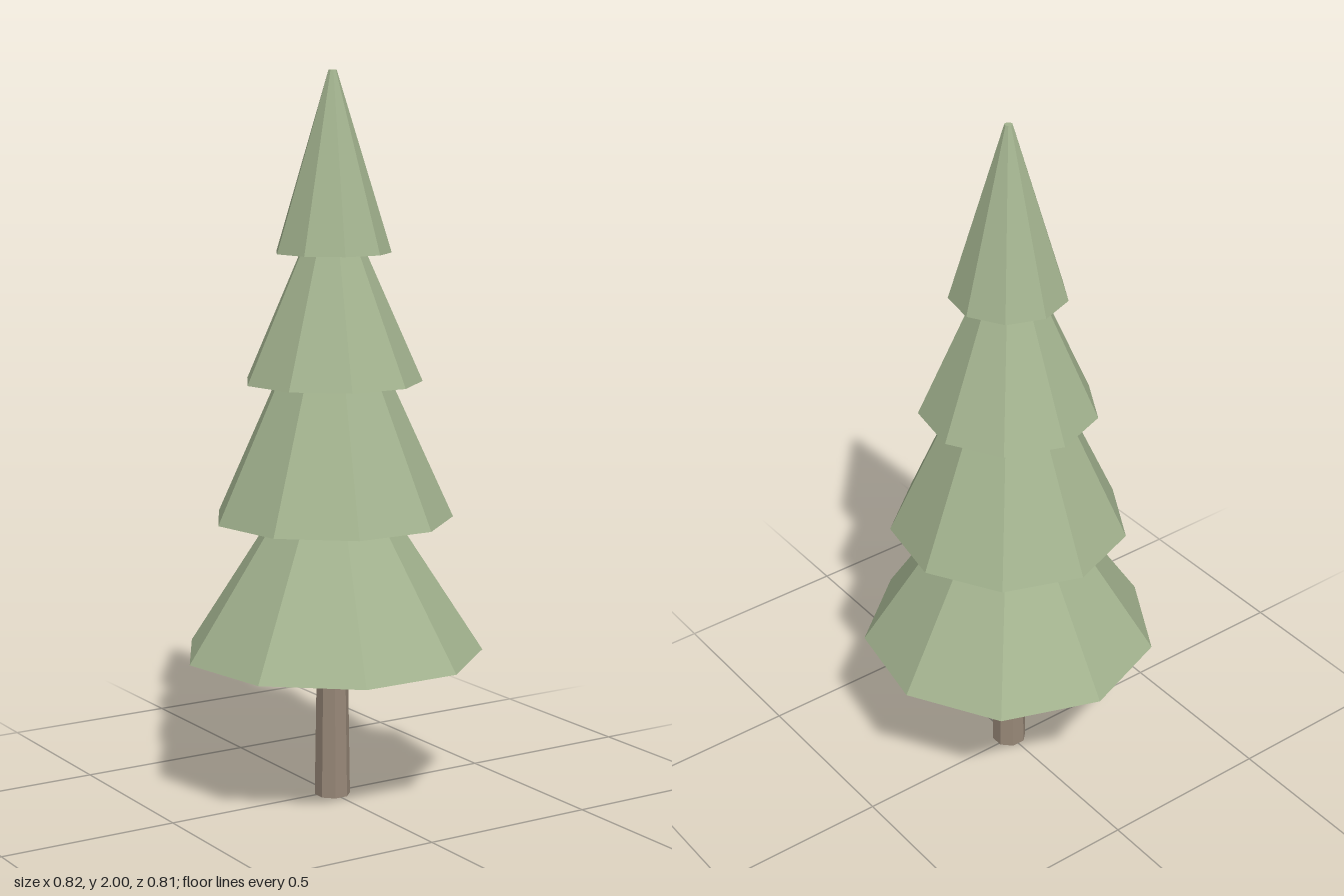
import * as THREE from 'three';

export function createModel() {
  const tree = new THREE.Group();
  tree.name = 'pineTree';

  const foliage = new THREE.MeshStandardMaterial({ color: 0xa3b38f, flatShading: true });
  foliage.name = 'foliageGreen';
  const bark = new THREE.MeshStandardMaterial({ color: 0x988878, flatShading: true });
  bark.name = 'barkBrown';

  const axisZ = 0.012; // trunk axis sits slightly forward of the bounds centre

  // Tapered prism standing between two heights
  function frustum(name, material, sides, y0, y1, r0, r1, turn) {
    const mesh = new THREE.Mesh(new THREE.CylinderGeometry(r1, r0, y1 - y0, sides), material);
    mesh.name = name;
    mesh.position.set(0, (y0 + y1) / 2, axisZ);
    mesh.rotation.y = turn;
    tree.add(mesh);
  }

  // Eight-sided trunk, flat side forward
  frustum('trunk', bark, 8, 0, 0.43, 0.05, 0.043, Math.PI / 8);

  // Nine-sided branch tiers, a corner pointing back: [bottom y, top y, bottom radius, top radius]
  const tiers = [
    [0.41, 0.8, 0.417, 0.164],
    [0.787, 1.175, 0.332, 0.155],
    [1.163, 1.525, 0.246, 0.086],
    [1.513, 2.0, 0.16, 0.011],
  ];
  tiers.forEach(([y0, y1, r0, r1], i) => {
    frustum(`branchTier${i + 1}`, foliage, 9, y0, y1, r0, r1, Math.PI);
  });

  return tree;
}
